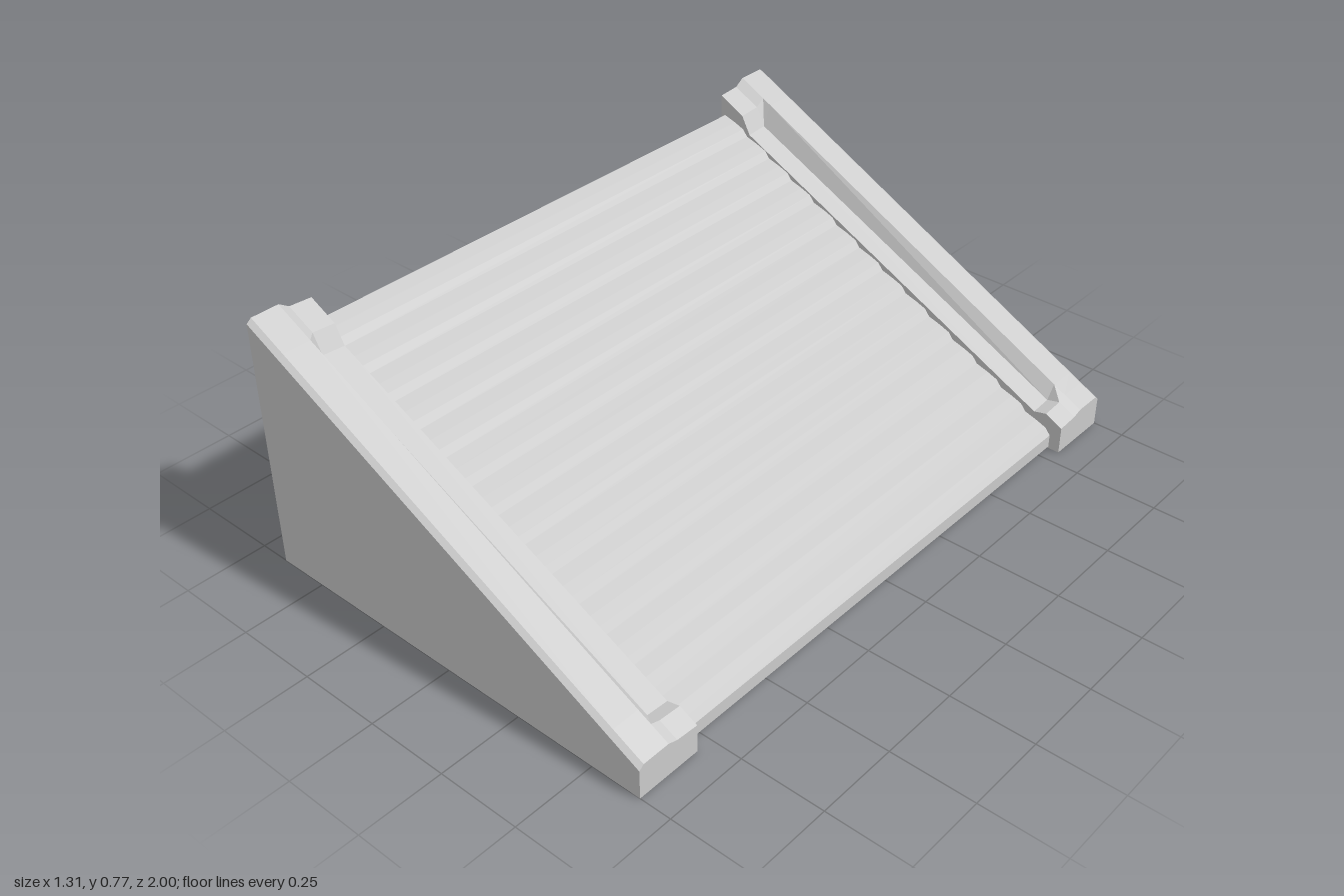
import * as THREE from 'three';

const material = new THREE.MeshStandardMaterial({ color: 0xcccccc });

// Closed solid through a row of rings with equal point counts, crisp edges.
function loft(rings) {
  const pos = [];
  const tri = (a, b, c) => pos.push(...a, ...b, ...c);
  const n = rings[0].length;
  for (let i = 0; i < rings.length - 1; i++) {
    for (let j = 0; j < n; j++) {
      const k = (j + 1) % n;
      const a = rings[i][j], b = rings[i][k], c = rings[i + 1][k], d = rings[i + 1][j];
      tri(a, b, c);
      tri(a, c, d);
    }
  }
  // end caps
  const outline = rings[0].map((p) => new THREE.Vector2(p[2], p[1]));
  const first = rings[0], last = rings[rings.length - 1];
  const flip = THREE.ShapeUtils.isClockWise(outline);
  for (const f of THREE.ShapeUtils.triangulateShape(outline, [])) {
    const [a, b, c] = flip ? [f[0], f[2], f[1]] : f;
    // rings wind so that the first cap faces -x
    tri(first[a], first[flip ? c : b], first[flip ? b : c]);
    tri(last[a], last[flip ? b : c], last[flip ? c : b]);
  }
  const geo = new THREE.BufferGeometry();
  geo.setAttribute('position', new THREE.Float32BufferAttribute(pos, 3));
  geo.computeVertexNormals();
  return geo;
}

// Side curb: raised outer lip, lower inner ledge, full-height block at each end.
function curb(side) {
  const top = (x) => 0.1 + (0.655 - x) * 0.509;
  const sections = [[-0.655, 0.02], [-0.57, 0.02], [-0.54, 0.06], [0.56, 0.04], [0.6, 0.01], [0.655, 0.01]];
  const rings = sections.map(([x, drop]) => {
    const t = top(x);
    const ring = [
      [x, 0, 1], [x, t - 0.012, 1], [x, t, 0.985], [x, t, 0.9],
      [x, t - drop, 0.87], [x, t - drop - 0.005, 0.8], [x, 0, 0.8],
    ].map(([px, py, pz]) => [px, py, pz * side]);
    return side > 0 ? ring.reverse() : ring;
  });
  return loft(rings);
}

// Ramp deck: wedge whose slope carries shallow ridged slats.
function deck() {
  const slats = 14, x0 = 0.62, x1 = -0.64, y0 = 0.045, y1 = 0.68;
  const shape = new THREE.Shape();
  shape.moveTo(x1, 0.005);
  shape.lineTo(x0, 0.005);
  shape.lineTo(x0, y0);
  const at = (t, lift) => shape.lineTo(x0 + (x1 - x0) * t, y0 + (y1 - y0) * t + lift);
  for (let i = 0; i < slats; i++) {
    at((i + 0.18) / slats, 0.012);
    at((i + 0.55) / slats, 0.008);
    at((i + 1) / slats, 0);
  }
  const geo = new THREE.ExtrudeGeometry(shape, { depth: 1.62, bevelEnabled: false });
  return geo.translate(0, 0, -0.81);
}

export function createModel() {
  const group = new THREE.Group();
  const add = (name, geo) => {
    const mesh = new THREE.Mesh(geo, material);
    mesh.name = name;
    group.add(mesh);
  };
  add('rampDeck', deck());
  add('frontCurb', curb(1));
  add('backCurb', curb(-1));
  return group;
}
